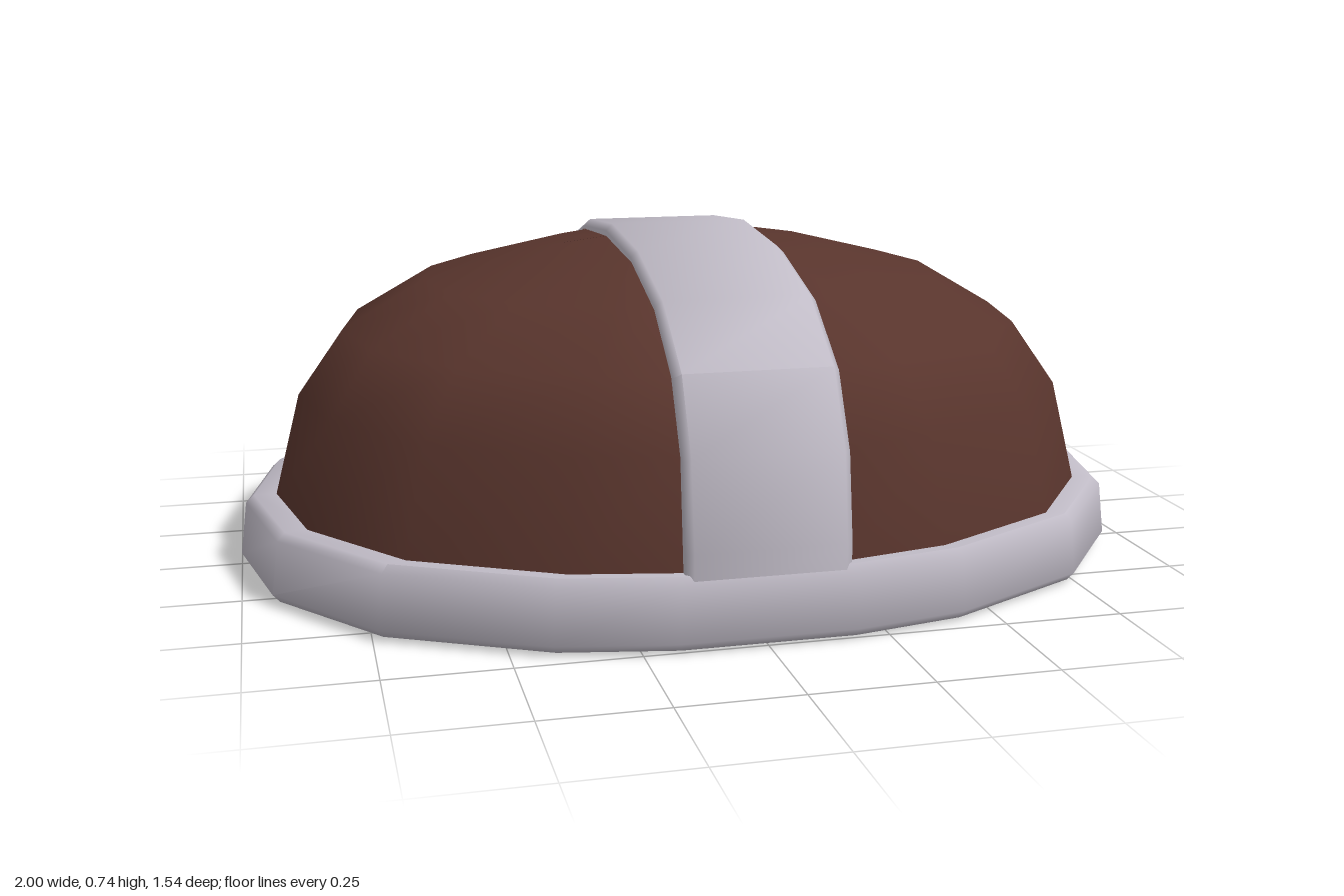
import * as THREE from 'three';
import { mergeVertices, toCreasedNormals } from 'three/addons/utils/BufferGeometryUtils.js';

// One quarter of the unit plan outline, from the side to the front
const QUARTER = [[1, 0], [0.937, 0.39], [0.74, 0.725], [0.42, 0.94], [0.18, 1]];

// Full outline, mirrored over both axes
function outline() {
  const half = [...QUARTER, ...QUARTER.map(([x, z]) => [-x, z]).reverse()];
  return [...half, ...half.slice(1, -1).map(([x, z]) => [x, -z]).reverse()];
}

// Skin a grid of cross-sections; closed joins the last column to the first
function skin(rows, closed) {
  const n = rows[0].length;
  const index = [];
  for (let r = 0; r < rows.length - 1; r++) {
    for (let i = 0; i < (closed ? n : n - 1); i++) {
      const j = (i + 1) % n;
      const a = r * n + i, b = r * n + j, c = a + n, d = b + n;
      index.push(a, c, b, b, c, d);
    }
  }
  const g = new THREE.BufferGeometry();
  g.setAttribute('position', new THREE.Float32BufferAttribute(rows.flat(2), 3));
  g.setIndex(index);
  return g;
}

// Stack outlines given as [half width, half depth, height];
// minX keeps the crown as a ridge beneath the strap
function loft(levels, minX = 0) {
  const plan = outline();
  return skin(levels.map(([rx, rz, y]) => plan.map(([x, z]) =>
    [Math.sign(x) * Math.max(Math.abs(x * rx), minX), y, z * rz])), true);
}

function smooth(g) {
  const merged = mergeVertices(g, 1e-4);
  merged.computeVertexNormals();
  return merged;
}

export function createModel() {
  const group = new THREE.Group();
  const brown = new THREE.MeshStandardMaterial({ color: 0x59352d });
  brown.name = 'dark brown';
  const grey = new THREE.MeshStandardMaterial({ color: 0xc0bbc6 });
  grey.name = 'pale grey';

  const add = (name, geometry, material) => {
    const mesh = new THREE.Mesh(geometry, material);
    mesh.name = name;
    group.add(mesh);
  };

  // Outer dome
  add('domeShell', smooth(loft([
    [0.935, 0.745, 0.06], [0.92, 0.737, 0.15], [0.86, 0.71, 0.38], [0.76, 0.635, 0.52],
    [0.58, 0.49, 0.625], [0.32, 0.27, 0.69], [0.17, 0, 0.708],
  ], 0.168)), brown);

  // Hollow inside, listed from the crown down so it faces inward
  add('domeLining', smooth(loft([
    [0.15, 0, 0.62], [0.28, 0.23, 0.6], [0.51, 0.41, 0.545], [0.67, 0.53, 0.45],
    [0.76, 0.585, 0.33], [0.82, 0.61, 0.13], [0.83, 0.615, 0.003],
  ], 0.145)), brown);

  // Rim band with bevelled edges
  add('rim', toCreasedNormals(loft([
    [0.83, 0.615, 0], [0.985, 0.757, 0.008], [1, 0.77, 0.025],
    [0.985, 0.768, 0.14], [0.967, 0.757, 0.157], [0.9, 0.71, 0.157],
  ]), 0.9), grey);

  // Strap over the crown from front to back
  const side = [[0.762, 0.1], [0.765, 0.2], [0.738, 0.38], [0.66, 0.53], [0.5, 0.645], [0.27, 0.712]];
  const arc = [...side, [0, 0.735], ...side.map(([z, y]) => [-z, y]).reverse()];
  const section = [[0.168, 0.9], [0.168, 0.98], [0.153, 1], [-0.153, 1], [-0.168, 0.98], [-0.168, 0.9]];
  const strap = skin(arc.map(([z, y]) => section.map(([x, s]) => [x, y * s, z * s])), false);
  add('strap', toCreasedNormals(strap, 0.9), grey);

  return group;
}
